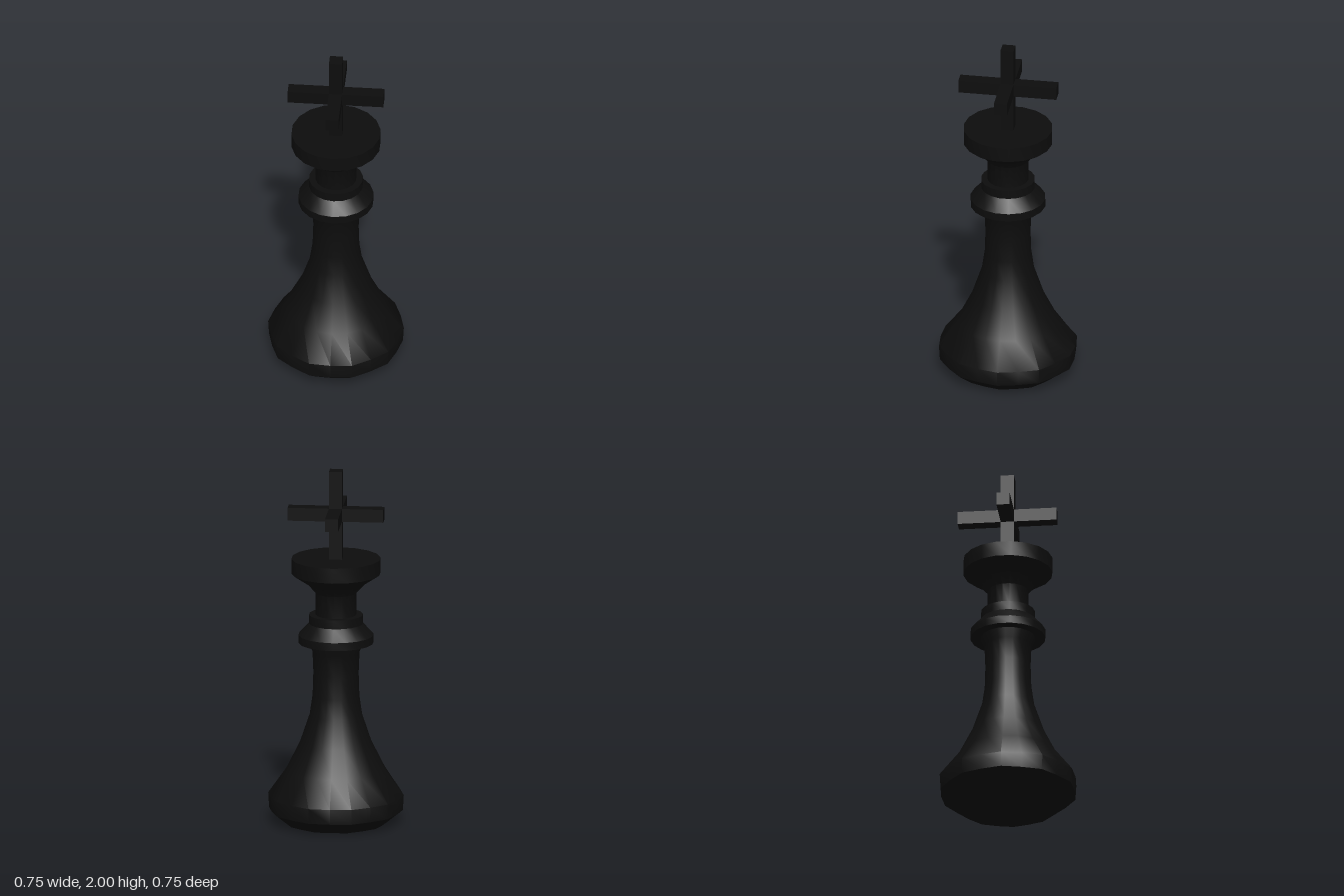
import * as THREE from 'three';
import { toCreasedNormals } from 'three/addons/utils/BufferGeometryUtils.js';

const black = new THREE.MeshStandardMaterial({ color: 0x0d0d0d });
black.name = 'ebony black';

function addPart(group, name, geometry) {
  const mesh = new THREE.Mesh(geometry, black);
  mesh.name = name;
  group.add(mesh);
  return mesh;
}

// Turned profile of [radius, height] pairs, from bottom to top
function turned(profile, sides) {
  return new THREE.LatheGeometry(profile.map(([r, y]) => new THREE.Vector2(r, y)), sides);
}

export function createModel() {
  const king = new THREE.Group();
  king.name = 'chessKing';

  // Flared base and slender stem
  const body = turned([
    [0, 0], [0.285, 0], [0.372, 0.07], [0.377, 0.155], [0.275, 0.3], [0.2, 0.45],
    [0.146, 0.61], [0.13, 0.72], [0.126, 0.85], [0.131, 0.97], [0.152, 1.02], [0.152, 1.03],
  ], 20);
  // Slightly uneven rim of the base, mirrored in every quarter
  const rim = [1, 0.976, 1.013, 0.99, 1.026, 1];
  const p = body.attributes.position;
  for (let i = 0; i < p.count; i++) {
    if (p.getY(i) > 0.29) continue;
    const step = Math.round(Math.atan2(Math.abs(p.getZ(i)), Math.abs(p.getX(i))) / (Math.PI / 10));
    p.setX(i, p.getX(i) * rim[step]);
    p.setZ(i, p.getZ(i) * rim[step]);
  }
  addPart(king, 'baseAndStem', toCreasedNormals(body, 0.7));

  // Stepped collar
  addPart(king, 'collar', toCreasedNormals(turned([
    [0, 1.02], [0.209, 1.02], [0.209, 1.065], [0.15, 1.13], [0.15, 1.18], [0, 1.18],
  ], 18), 0.6));

  // Neck flaring into the crown
  addPart(king, 'neckAndCrown', toCreasedNormals(turned([
    [0.114, 1.17], [0.114, 1.305], [0.165, 1.36], [0.248, 1.415], [0.248, 1.5], [0, 1.5],
  ], 18), 0.8));

  // Finial: one post with two crossing bars
  const post = addPart(king, 'finialPost', new THREE.BoxGeometry(0.073, 0.51, 0.073));
  post.position.y = 1.745;
  const barX = addPart(king, 'finialSideBar', new THREE.BoxGeometry(0.532, 0.073, 0.073));
  barX.position.y = 1.753;
  const barZ = addPart(king, 'finialFrontBar', new THREE.BoxGeometry(0.073, 0.073, 0.55));
  barZ.position.set(0, 1.753, -0.002);

  return king;
}
